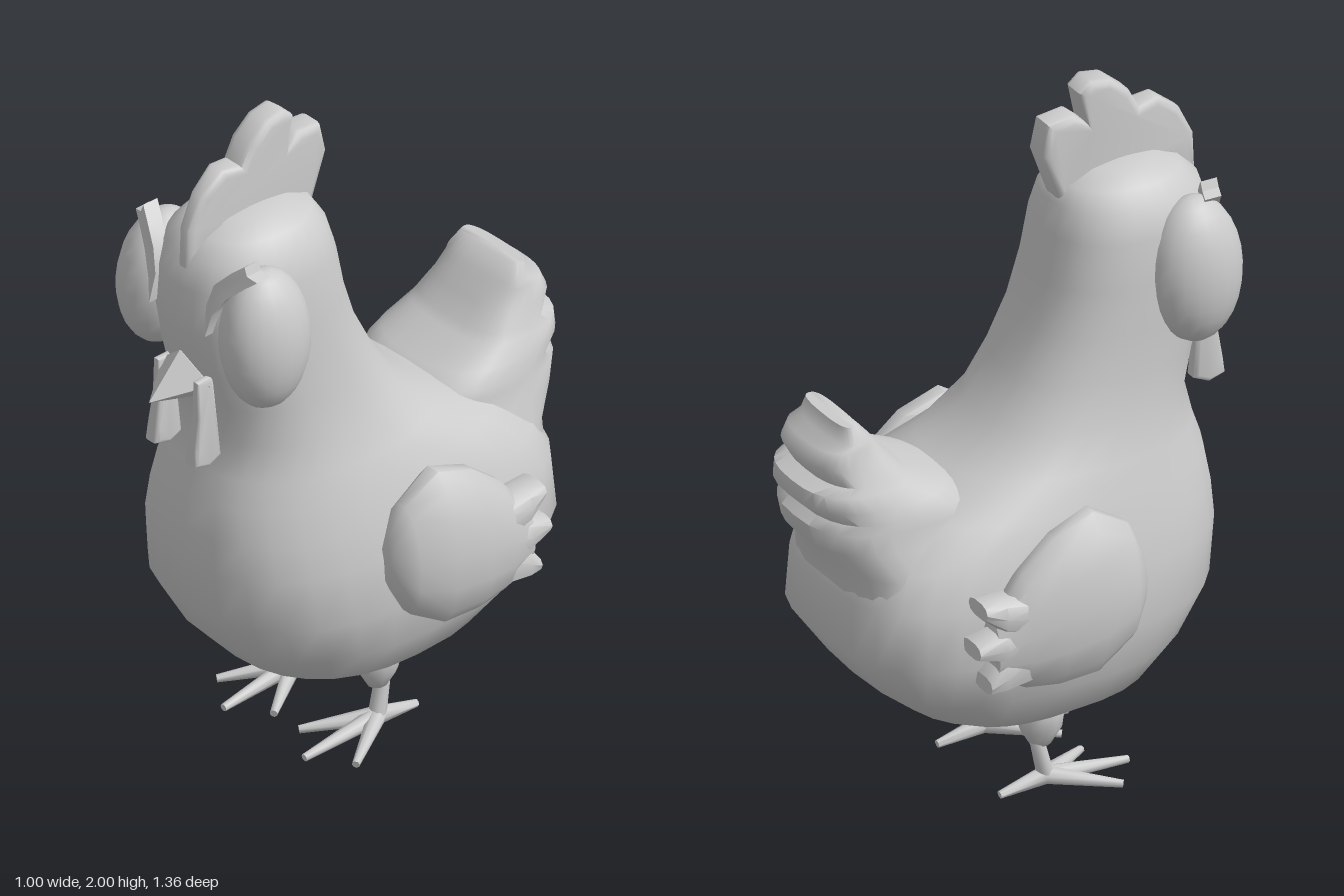
import * as THREE from 'three';
import { toCreasedNormals } from 'three/addons/utils/BufferGeometryUtils.js';
import { ConvexGeometry } from 'three/addons/geometries/ConvexGeometry.js';

const material = new THREE.MeshStandardMaterial({ color: 0xcccccc });
const V = (x, y, z) => new THREE.Vector3(x, y, z);
const shape = (points) => new THREE.Shape(points.map((q) => new THREE.Vector2(...q)));

// Turn faces outward, smooth up to the crease angle, and wrap in a named mesh.
function part(name, geometry, crease = 0.8, side = 1) {
  const g = geometry.index ? geometry.toNonIndexed() : geometry.clone();
  g.scale(side, 1, 1);
  const p = g.attributes.position;
  const at = (i) => new THREE.Vector3().fromBufferAttribute(p, i);
  let volume = 0;
  for (let i = 0; i < p.count; i += 3) volume += at(i).dot(at(i + 1).cross(at(i + 2)));
  if (volume < 0) {
    for (let i = 0; i < p.count; i += 3) {
      const b = at(i + 1), c = at(i + 2);
      p.setXYZ(i + 1, c.x, c.y, c.z);
      p.setXYZ(i + 2, b.x, b.y, b.z);
    }
  }
  g.deleteAttribute('uv');
  const mesh = new THREE.Mesh(toCreasedNormals(g, crease), material);
  mesh.name = name;
  return mesh;
}

// Skin a list of equally long point rings and close both ends.
function loft(rings) {
  const n = rings[0].length, pos = [], index = [];
  rings.forEach((r) => r.forEach((v) => pos.push(v.x, v.y, v.z)));
  for (let r = 0; r < rings.length - 1; r++) {
    for (let i = 0; i < n; i++) {
      const a = r * n + i, b = r * n + (i + 1) % n;
      index.push(a, a + n, b, b, a + n, b + n);
    }
  }
  [0, rings.length - 1].forEach((r, end) => {
    const c = rings[r].reduce((s, v) => s.add(v), V(0, 0, 0)).divideScalar(n);
    const k = pos.length / 3;
    pos.push(c.x, c.y, c.z);
    for (let i = 0; i < n; i++) {
      const a = r * n + i, b = r * n + (i + 1) % n;
      index.push(k, end ? b : a, end ? a : b);
    }
  });
  const g = new THREE.BufferGeometry();
  g.setAttribute('position', new THREE.Float32BufferAttribute(pos, 3));
  g.setIndex(index);
  return g;
}

// Superellipse ring mapped to space by place(u, v); the v < 0 half may be squarer.
function ring(n, power, backPower, place) {
  return Array.from({ length: n }, (_, i) => {
    const a = (i / n) * Math.PI * 2;
    const e = 2 / (i > n / 2 ? backPower : power);
    const bend = (c) => Math.sign(c) * Math.abs(c) ** e;
    return place(bend(Math.cos(a)), bend(Math.sin(a)));
  });
}

// Stack of level sections: [y, front z, back z, half width, front squareness, back squareness].
const alongY = (rows) => loft(rows.map(([y, f, b, w, n, m]) =>
  ring(28, n, m, (u, v) => V(u * w, y, (f + b) / 2 + v * (f - b) / 2))));

// Stack of upright sections: [z, x, y, half width, half height].
const alongZ = (rows, n, power) => loft(rows.map(([z, x, y, w, h]) =>
  ring(n, power, power, (u, v) => V(x + u * w - v * h * 0.06, y + v * h, z))));

// Rounded plate from a side profile of [z, y] points; place(t, y, z) sets x from t = -1..1.
function plate(profile, bevel, place) {
  const g = new THREE.ExtrudeGeometry(shape(profile), {
    depth: 1, bevelThickness: 0.5, bevelSize: bevel, bevelOffset: -bevel, bevelSegments: 3,
  });
  const p = g.attributes.position;
  for (let i = 0; i < p.count; i++) {
    const z = p.getX(i), y = p.getY(i);
    p.setXYZ(i, place(p.getZ(i) - 0.5, y, z), y, z);
  }
  return g;
}

// Tapered limb between two points.
function limb(a, b, r0, r1) {
  const g = new THREE.CylinderGeometry(r1, r0, a.distanceTo(b), 8);
  const turn = new THREE.Quaternion().setFromUnitVectors(V(0, 1, 0), b.clone().sub(a).normalize());
  const c = a.clone().add(b).multiplyScalar(0.5);
  return g.applyQuaternion(turn).translate(c.x, c.y, c.z);
}

function face(side) {
  const group = new THREE.Group();
  const eye = new THREE.SphereGeometry(1, 20, 14).scale(0.108, 0.21, 0.135);
  group.add(part('eye', eye.rotateZ(0.06).translate(0.203, 1.46, 0.45), 1, side));

  // Forked brow, bent back with height and away from the middle
  const brow = new THREE.ExtrudeGeometry(shape([[0.11, 1.47], [0.125, 1.54], [0.16, 1.6], [0.2, 1.64],
    [0.24, 1.675], [0.21, 1.685], [0.2, 1.71], [0.165, 1.68], [0.12, 1.63], [0.1, 1.56]]),
  { depth: 0.05, bevelEnabled: false });
  const p = brow.attributes.position;
  for (let i = 0; i < p.count; i++) {
    const h = p.getY(i) - 1.47;
    p.setZ(i, p.getZ(i) + 0.53 - 0.15 * h - 0.35 * Math.max(0, p.getX(i) - 0.13));
  }
  group.add(part('brow', brow, 0.6, side));

  // Hanging wattle, wider toward its lower end
  const wattle = plate([[0.53, 1.31], [0.51, 1.06], [0.555, 1.04], [0.605, 1.055], [0.6, 1.1],
    [0.585, 1.2], [0.585, 1.31]], 0.012, (t, y) => 0.078 + t * (0.012 + 0.055 * (1.3 - y)));
  group.add(part('wattle', wattle, 0.9, side));
  return group;
}

function wing(side) {
  const group = new THREE.Group();
  group.add(part('wingBody', alongZ([
    [0.175, 0.395, 0.7, 0.035, 0.08], [0.13, 0.4, 0.705, 0.07, 0.17], [0.02, 0.405, 0.705, 0.093, 0.238],
    [-0.1, 0.41, 0.68, 0.088, 0.218], [-0.2, 0.41, 0.645, 0.07, 0.17], [-0.29, 0.41, 0.61, 0.045, 0.09],
  ], 14, 2), 0.9, side));
  // Three fanned finger feathers: [root height, tip height, tip z]
  [[0.69, 0.735, -0.33], [0.62, 0.62, -0.35], [0.56, 0.51, -0.315]].forEach(([y, tip, z]) => {
    group.add(part('wingFeather', alongZ([
      [-0.16, 0.41, y, 0.06, 0.06], [-0.27, 0.41, (y + tip) / 2, 0.058, 0.05], [z, 0.405, tip, 0.05, 0.024],
    ], 10, 2.6), 0.7, side));
  });
  return group;
}

function leg(side) {
  const group = new THREE.Group();
  const thigh = new THREE.LatheGeometry([[0, 0.12], [0.03, 0.13], [0.06, 0.18], [0.067, 0.23], [0.055, 0.27],
    [0, 0.28]].map((q) => new THREE.Vector2(...q)), 10);
  group.add(part('thigh', thigh.scale(0.9, 1, 1).translate(0.155, 0, 0.005), 0.9, side));
  const ankle = V(0.165, 0.035, 0.015);
  group.add(part('shank', limb(ankle, V(0.16, 0.15, -0.01), 0.025, 0.021), 0.9, side));
  // Three front toes and one back toe
  [[0.16, 0.27], [0.05, 0.19], [0.275, 0.19], [0.165, -0.125]].forEach(([x, z]) => {
    group.add(part('toe', limb(ankle, V(x, 0.011, z), 0.026, 0.011), 0.9, side));
  });
  return group;
}

export function createModel() {
  const model = new THREE.Group();
  model.name = 'hen';

  // Body, neck and head in one skin
  model.add(part('body', alongY([
    [0.2, 0.1, -0.13, 0.1, 2, 2.2], [0.235, 0.24, -0.25, 0.22, 2.1, 2.5], [0.3, 0.37, -0.36, 0.315, 2.3, 2.8],
    [0.4, 0.46, -0.48, 0.365, 2.4, 3.2], [0.54, 0.54, -0.58, 0.395, 2.5, 3.4],
    [0.7, 0.56, -0.575, 0.38, 2.5, 3.3], [0.8, 0.555, -0.54, 0.355, 2.5, 3],
    [0.9, 0.54, -0.42, 0.325, 2.4, 2.7], [0.98, 0.515, -0.23, 0.29, 2.3, 2.5],
    [1.08, 0.49, -0.1, 0.255, 2.3, 2.5], [1.2, 0.52, -0.025, 0.235, 2.3, 2.5],
    [1.32, 0.555, 0.035, 0.228, 2.2, 2.5], [1.45, 0.58, 0.075, 0.222, 2.2, 2.5],
    [1.58, 0.575, 0.1, 0.212, 2.2, 2.5], [1.66, 0.55, 0.12, 0.19, 2.2, 2.4],
    [1.71, 0.5, 0.15, 0.15, 2.2, 2.2], [1.74, 0.43, 0.22, 0.09, 2, 2], [1.748, 0.37, 0.28, 0.04, 2, 2],
  ]), 1.1));

  // Upswept tail growing out of the rump, with stepped feather rows at the back
  model.add(part('tail', alongY([
    [0.62, -0.2, -0.56, 0.3, 2.5, 3], [0.78, -0.15, -0.575, 0.275, 2.5, 2.8], [0.86, -0.15, -0.645, 0.24, 2.5, 2.6],
    [0.92, -0.17, -0.66, 0.23, 2.6, 2.6], [0.945, -0.19, -0.635, 0.225, 2.6, 2.6], [0.985, -0.25, -0.675, 0.21, 2.8, 2.6],
    [1.03, -0.36, -0.67, 0.19, 3, 2.6], [1.05, -0.385, -0.625, 0.18, 3, 2.6], [1.1, -0.43, -0.655, 0.16, 3, 2.6],
    [1.145, -0.465, -0.635, 0.145, 3, 2.6], [1.16, -0.48, -0.59, 0.14, 3, 2.6], [1.205, -0.52, -0.575, 0.115, 3, 2.6],
  ]), 1));

  // Three-lobed comb, thinning toward the brow
  const comb = [[0.56, 1.63], [0.555, 1.75], [0.51, 1.84], [0.44, 1.895], [0.38, 1.885], [0.35, 1.94],
    [0.29, 1.99], [0.23, 2], [0.195, 1.97], [0.215, 1.88], [0.18, 1.91], [0.1, 1.9], [0.08, 1.81],
    [0.13, 1.67], [0.3, 1.68], [0.45, 1.66]];
  model.add(part('comb', plate(comb, 0.022, (t, y, z) =>
    t * (0.046 - 0.13 * Math.max(0, z - 0.36))), 1));

  // Short pointed beak
  const beak = [V(0, 1.37, 0.57), V(0, 1.225, 0.59), V(0, 1.25, 0.68), V(0, 1.3, 0.5)];
  [-1, 1].forEach((s) => beak.push(V(s * 0.095, 1.29, 0.545), V(s * 0.06, 1.25, 0.56)));
  model.add(part('beak', new ConvexGeometry(beak), 0.5));

  [[1, 'left'], [-1, 'right']].forEach(([s, label]) => {
    [[face, 'Face'], [wing, 'Wing'], [leg, 'Leg']].forEach(([build, name]) => {
      const group = build(s);
      group.name = label + name;
      model.add(group);
    });
  });
  return model;
}
